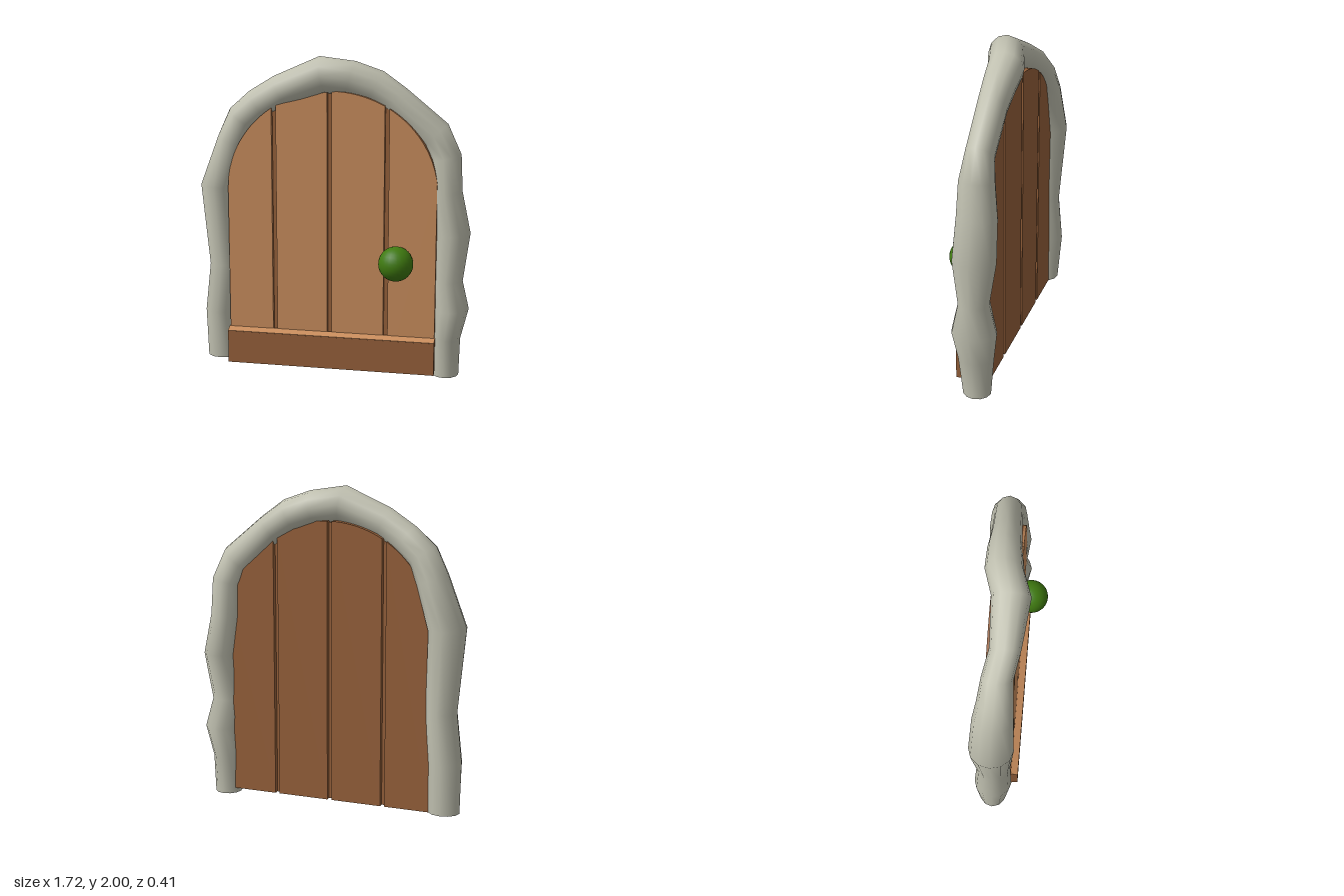
import * as THREE from 'three';

const mat = (name, color) => {
  const m = new THREE.MeshStandardMaterial({ color });
  m.name = name;
  return m;
};

// Arch outline of the door: straight sides, elliptical top
const BASE = 0.035, SPRING = 1.17, RX = 0.66, RY = 0.62;
const archY = (x, inset = 0) =>
  SPRING + (RY - inset) * Math.sqrt(Math.max(0, 1 - (x / RX) ** 2));

// Vertical board between x0 and x1 whose top follows the arch
function boardGeometry(x0, x1, z0, z1, inset = 0) {
  const shape = new THREE.Shape();
  shape.moveTo(x0, BASE);
  shape.lineTo(x1, BASE);
  const n = 14;
  for (let i = 0; i <= n; i++) {
    // cosine spacing keeps the steep ends of the arch round
    const t = (1 - Math.cos((Math.PI * i) / n)) / 2;
    const x = x1 + (x0 - x1) * t;
    shape.lineTo(x, archY(x, inset));
  }
  shape.closePath();
  const g = new THREE.ExtrudeGeometry(shape, { depth: z1 - z0, bevelEnabled: false });
  g.translate(0, 0, z0);
  return g;
}

// Frame cross-sections: x, y, z, radius across the arch, radius in depth
const RINGS = [
  [-0.745, 0.035, -0.07, 0.1, 0.09],
  [-0.748, 0.35, -0.065, 0.102, 0.12],
  [-0.717, 0.66, -0.06, 0.098, 0.105],
  [-0.748, 1.17, -0.065, 0.117, 0.135],
  [-0.65, 1.46, -0.06, 0.1, 0.12],
  [-0.585, 1.6, -0.05, 0.1, 0.105],
  [-0.48, 1.69, -0.045, 0.1, 0.092],
  [-0.33, 1.78, -0.01, 0.1, 0.09],
  [-0.06, 1.885, 0.002, 0.115, 0.113],
  [0.11, 1.86, -0.05, 0.11, 0.112],
  [0.26, 1.81, -0.06, 0.108, 0.1],
  [0.39, 1.725, -0.06, 0.1, 0.09],
  [0.625, 1.525, -0.065, 0.106, 0.085],
  [0.69, 1.39, -0.067, 0.1, 0.108],
  [0.7, 1.17, -0.068, 0.1, 0.125],
  [0.745, 0.92, -0.065, 0.11, 0.135],
  [0.715, 0.62, -0.05, 0.1, 0.095],
  [0.745, 0.44, -0.06, 0.111, 0.14],
  [0.715, 0.25, -0.06, 0.092, 0.112],
  [0.715, 0, -0.065, 0.085, 0.087],
];

function frameGeometry(sides = 12) {
  const pos = [], index = [], last = RINGS.length - 1;
  RINGS.forEach(([x, y, z, r, rz], i) => {
    const a = RINGS[Math.max(0, i - 1)], b = RINGS[Math.min(last, i + 1)];
    const t = new THREE.Vector2(b[0] - a[0], b[1] - a[1]).normalize();
    if (i === 0) t.set(0, 1);       // feet are cut level
    if (i === last) t.set(0, -1);
    for (let j = 0; j < sides; j++) {
      const ang = (j / sides) * Math.PI * 2, c = Math.cos(ang) * r;
      pos.push(x - t.y * c, y + t.x * c, z + Math.sin(ang) * rz);
      if (i < last) {
        const k = i * sides, j1 = (j + 1) % sides;
        index.push(k + j, k + j1, k + sides + j, k + j1, k + sides + j1, k + sides + j);
      }
    }
  });
  const g = new THREE.BufferGeometry();
  g.setAttribute('position', new THREE.Float32BufferAttribute(pos, 3));
  g.setIndex(index);
  g.computeVertexNormals();
  return g;
}

export function createModel() {
  const model = new THREE.Group();
  model.name = 'archedDoor';
  const stone = mat('stone', 0xc0c0b0);
  const lightWood = mat('lightWood', 0xc88c5c);
  const darkWood = mat('darkWood', 0x95603a);
  const green = mat('green', 0x3f7a10);

  const add = (name, geometry, material, parent = model) => {
    const mesh = new THREE.Mesh(geometry, material);
    mesh.name = name;
    parent.add(mesh);
    return mesh;
  };

  // Lumpy stone surround with flat feet
  const frame = new THREE.Group();
  frame.name = 'frame';
  model.add(frame);
  add('arch', frameGeometry(), stone, frame);
  for (const [x, y, z, r, rz] of [RINGS[0], RINGS[RINGS.length - 1]]) {
    const foot = new THREE.CircleGeometry(1, 12);
    foot.rotateX(Math.PI / 2).scale(r, 1, rz).translate(x, y, z);
    add('foot', foot, stone, frame);
  }

  // Four planks, dark behind and light in front, with narrow grooves between
  const door = new THREE.Group();
  door.name = 'door';
  model.add(door);
  const seams = [-0.665, -0.363, -0.012, 0.345, 0.655];
  for (let i = 0; i < 4; i++) {
    const x0 = seams[i] + (i > 0 ? 0.014 : 0.005);
    const x1 = seams[i + 1] - (i < 3 ? 0.014 : 0);
    add('plank', boardGeometry(x0, x1, -0.117, 0.03), darkWood, door);
    add('plankFace', boardGeometry(x0, x1, 0.03, 0.045), lightWood, door);
  }
  // Core that closes the grooves
  add('core', boardGeometry(-0.65, 0.645, -0.085, 0.015, 0.01), darkWood, door);

  // Bottom rail with a sloping top
  const profile = new THREE.Shape();
  profile.moveTo(-0.04, 0.035);
  profile.lineTo(-0.04, 0.262);
  profile.lineTo(-0.09, 0.243);
  profile.lineTo(-0.09, 0.035);
  profile.closePath();
  const rail = new THREE.ExtrudeGeometry(profile, { depth: 1.325, bevelEnabled: false });
  rail.rotateY(Math.PI / 2).translate(-0.666, 0, 0);
  add('bottomRail', rail, darkWood, door);
  const cap = new THREE.BoxGeometry(1.325, 0.004, 0.0535);
  cap.rotateX(Math.atan2(0.019, 0.05)).translate(-0.0035, 0.2545, 0.065);
  add('railTop', cap, lightWood, door);

  // Round knob
  const knob = add('knob', new THREE.SphereGeometry(0.108, 24, 16), green);
  knob.position.set(0.415, 0.745, 0.097);

  return model;
}
